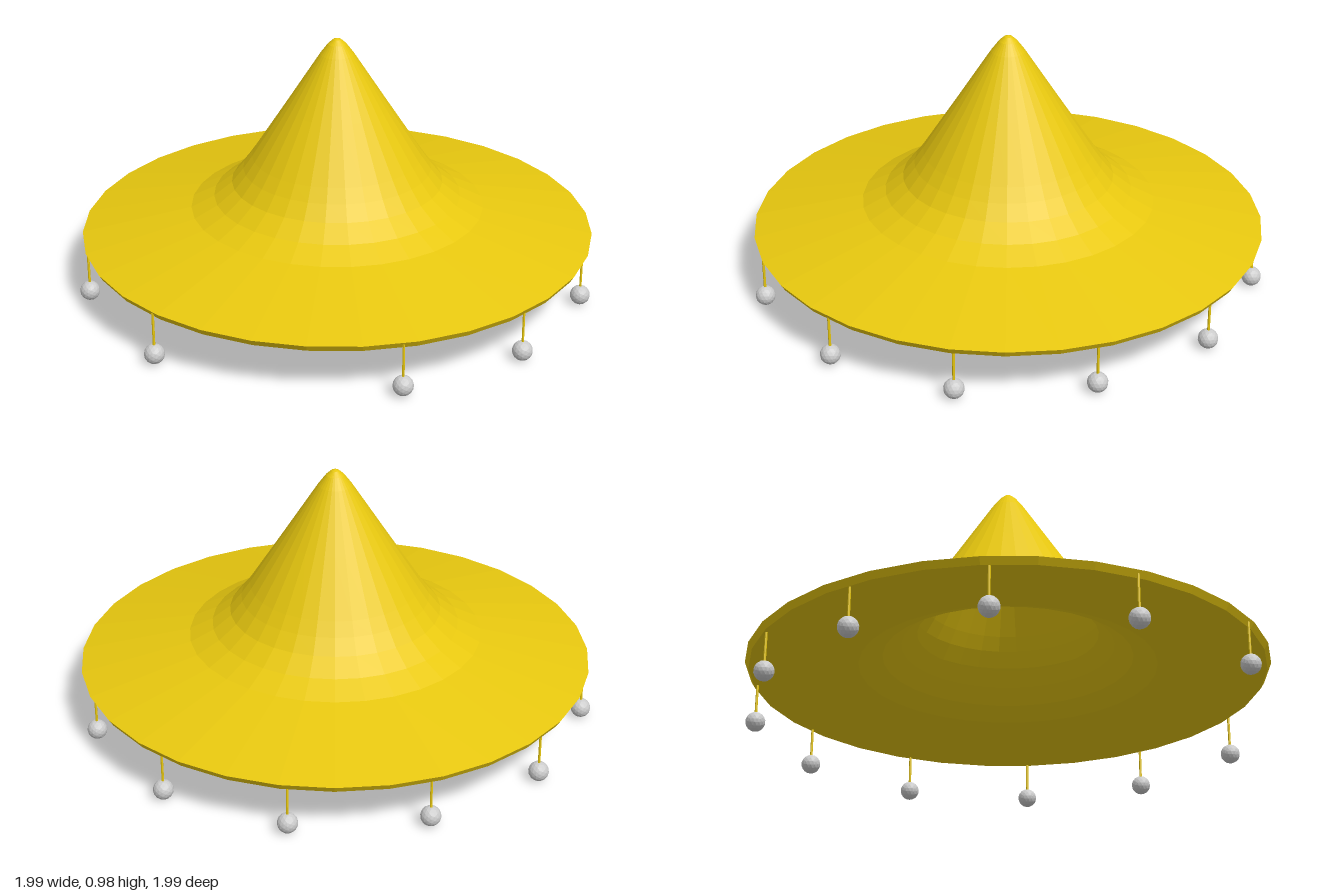
import * as THREE from 'three';

export function createModel() {
  const model = new THREE.Group();
  const yellow = new THREE.MeshStandardMaterial({ color: 0xe8c80f, flatShading: true, side: THREE.DoubleSide });
  const grey = new THREE.MeshStandardMaterial({ color: 0xcccccc, flatShading: true });

  const add = (name, geometry, material, parent = model) => {
    const mesh = new THREE.Mesh(geometry, material);
    mesh.name = name;
    parent.add(mesh);
    return mesh;
  };
  const lathe = (points) => new THREE.LatheGeometry(points.map(([r, y]) => new THREE.Vector2(r, y)), 32);

  // Crown and upper brim, from the rim's lower edge up to the rounded tip
  add('crownAndBrim', lathe([
    [0.98, 0.19], [0.995, 0.215], [0.57, 0.305], [0.48, 0.35], [0.41, 0.405], [0.365, 0.46],
    [0.33, 0.51], [0.2, 0.71], [0.065, 0.92], [0.035, 0.96], [0.015, 0.978], [0, 0.983],
  ]), yellow);

  // Underside of the brim, curling up into the hollow crown and open at the top
  add('brimUnderside', lathe([
    [0.35, 0.37], [0.41, 0.32], [0.48, 0.27], [0.57, 0.232], [0.75, 0.197], [0.98, 0.19],
  ]), yellow);

  // Hanging balls on strings around the rim, with a gap near the front
  const spots = [
    [0.955, 0.18], [0.74, 0.635], [0.33, 0.925], [-0.575, 0.8], [-0.92, 0.345], [-0.96, -0.16],
    [-0.75, -0.615], [-0.34, -0.905], [0.165, -0.95], [0.62, -0.74], [0.91, -0.325],
  ];
  const stringGeometry = new THREE.CylinderGeometry(0.005, 0.005, 0.14, 6);
  const ballGeometry = new THREE.IcosahedronGeometry(0.038, 2);
  for (const [x, z] of spots) {
    const pendant = new THREE.Group();
    pendant.name = 'pendant';
    pendant.position.set(x, 0, z);
    add('string', stringGeometry, yellow, pendant).position.y = 0.135;
    add('ball', ballGeometry, grey, pendant).position.y = 0.041;
    model.add(pendant);
  }
  return model;
}
